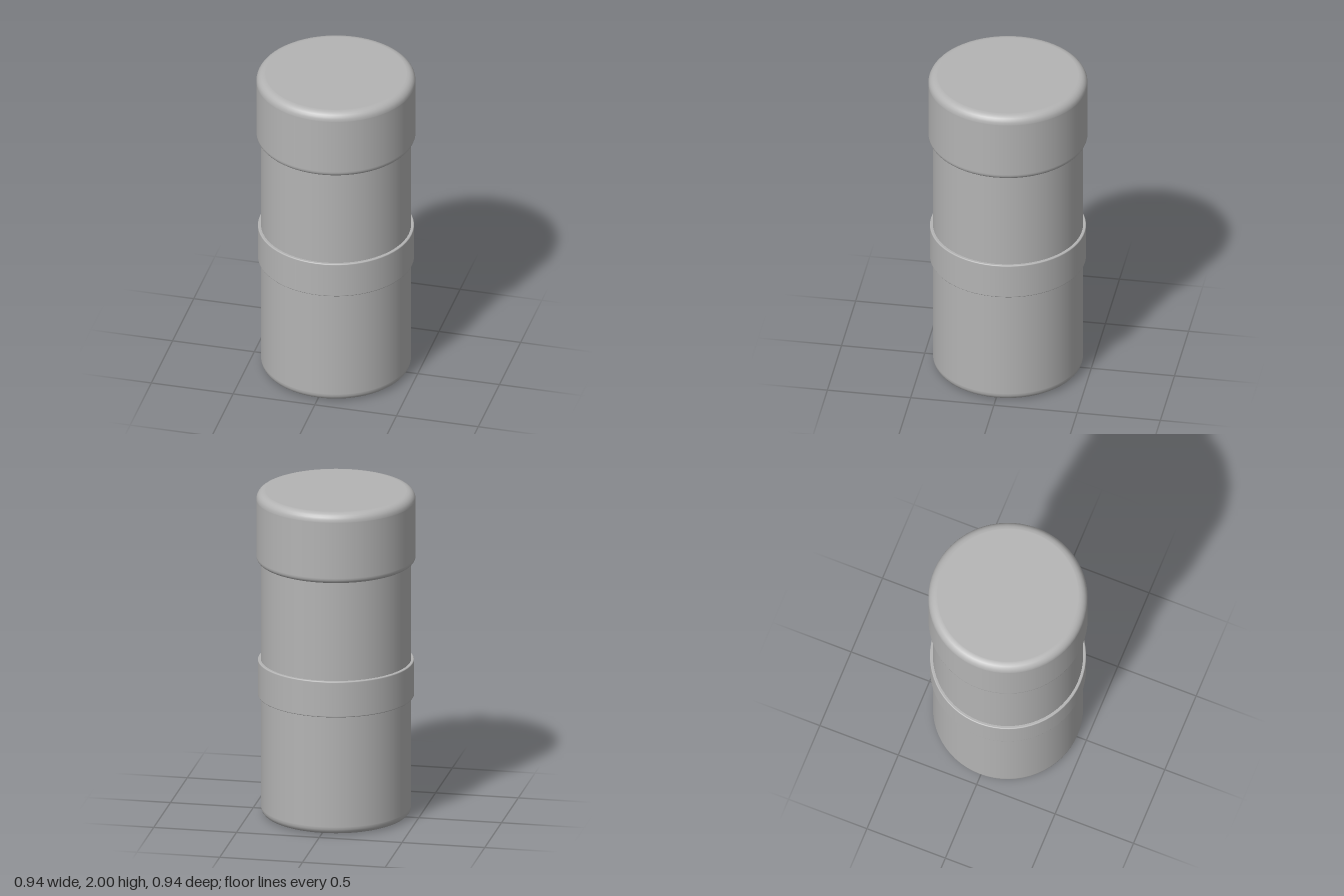
import * as THREE from 'three';

const SEGMENTS = 64;

// Closed disc-like solid of revolution with rounded lower and upper rims
function roundedDrum(radius, bottom, top, lowerRim, upperRim, material, name) {
  const points = [new THREE.Vector2(0, bottom)];
  const steps = 6;
  const addRim = (rim, y, from) => {
    for (let i = 0; i <= steps; i++) {
      const a = from + (i / steps) * Math.PI / 2;
      points.push(new THREE.Vector2(radius - rim + rim * Math.cos(a), y + rim * Math.sin(a)));
    }
  };
  // Support points beside each rim keep the flat faces and wall evenly shaded
  points.push(new THREE.Vector2(radius - lowerRim - 0.004, bottom));
  addRim(lowerRim, bottom + lowerRim, -Math.PI / 2);
  points.push(new THREE.Vector2(radius, bottom + lowerRim + 0.004));
  points.push(new THREE.Vector2(radius, top - upperRim - 0.004));
  addRim(upperRim, top - upperRim, 0);
  points.push(new THREE.Vector2(radius - upperRim - 0.004, top));
  points.push(new THREE.Vector2(0, top));
  const mesh = new THREE.Mesh(new THREE.LatheGeometry(points, SEGMENTS), material);
  mesh.name = name;
  return mesh;
}

export function createModel() {
  const grey = new THREE.MeshStandardMaterial({ color: 0xb4b4b4 });
  grey.name = 'plain grey';

  const group = new THREE.Group();
  group.name = 'canister';
  group.add(
    // Tall body, reaching up inside the cap
    roundedDrum(0.445, 0, 1.7, 0.045, 0.01, grey, 'body'),
    // Raised band around the middle
    roundedDrum(0.463, 0.735, 0.957, 0.006, 0.006, grey, 'band'),
    // Wider cap with a soft top edge
    roundedDrum(0.472, 1.565, 2, 0.032, 0.05, grey, 'cap'),
  );
  return group;
}
